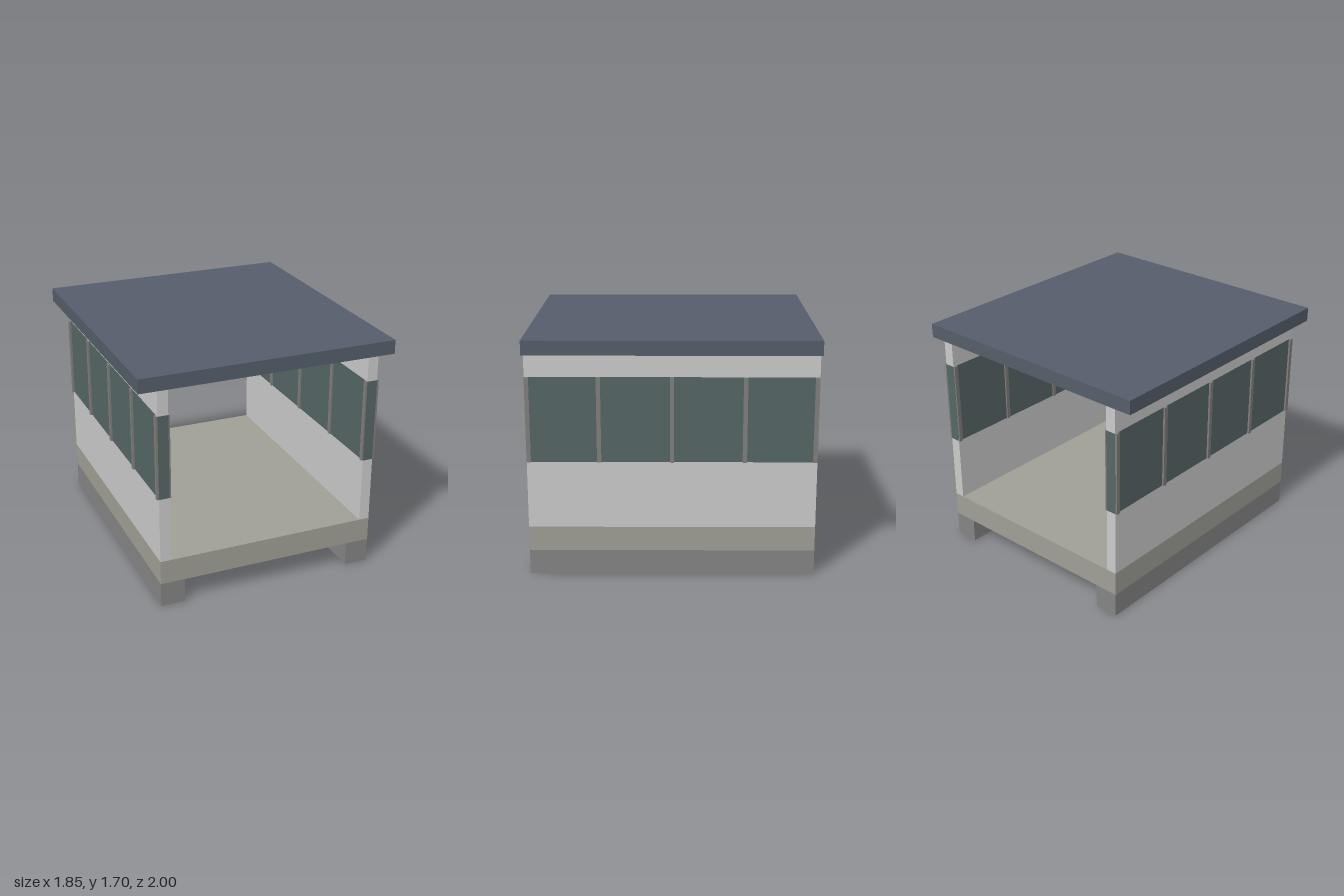
import * as THREE from 'three';

const mat = (color) => new THREE.MeshStandardMaterial({ color });

// Box given by its extents along each axis
function slab(parent, name, material, [x0, x1], [y0, y1], [z0, z1]) {
  const mesh = new THREE.Mesh(new THREE.BoxGeometry(x1 - x0, y1 - y0, z1 - z0), material);
  mesh.position.set((x0 + x1) / 2, (y0 + y1) / 2, (z0 + z1) / 2);
  mesh.name = name;
  parent.add(mesh);
  return mesh;
}

export function createModel() {
  const model = new THREE.Group();
  model.name = 'openEndedCabin';

  const wallMat = mat(0xcccccc);
  const skidMat = mat(0x858585);
  const floorMat = mat(0xa0a096);
  const roofMat = mat(0x545e6a);
  const glassMat = mat(0x566666);
  const frameMat = mat(0x827e7e);

  const FULL = [-1, 1];
  const FLOOR_TOP = 0.35, SILL = 0.825, HEAD = 1.425, EAVES = 1.6;

  // Floor and roof
  slab(model, 'floor', floorMat, [-0.8, 0.8], [0.175, FLOOR_TOP], FULL);
  slab(model, 'roof', roofMat, [-0.925, 0.925], [EAVES, 1.7], FULL);

  // Cross beams between the skids
  for (const z of [-0.5, 0.5]) {
    slab(model, 'crossBeam', skidMat, [-0.625, 0.625], [0.022, 0.102], [z - 0.04, z + 0.04]);
  }

  // Each side: skid, wall below and above the window band, glass, mullions
  for (const s of [-1, 1]) {
    const side = new THREE.Group();
    side.name = s > 0 ? 'leftSide' : 'rightSide';
    const span = (a, b) => (s > 0 ? [a, b] : [-b, -a]);
    const wallX = span(0.725, 0.8);

    slab(side, 'skid', skidMat, span(0.625, 0.8), [0, 0.175], FULL);
    slab(side, 'lowerWall', wallMat, wallX, [FLOOR_TOP, SILL], FULL);
    slab(side, 'upperWall', wallMat, wallX, [HEAD, EAVES], FULL);
    slab(side, 'windowGlass', glassMat, wallX, [SILL, HEAD], FULL);

    // End mullions sit a hair inside the glass ends
    for (const z of [-0.984, -0.5, 0, 0.5, 0.984]) {
      slab(side, 'mullion', frameMat, span(0.714, 0.814), [SILL, HEAD], [z - 0.015, z + 0.015]);
    }
    model.add(side);
  }
  return model;
}
